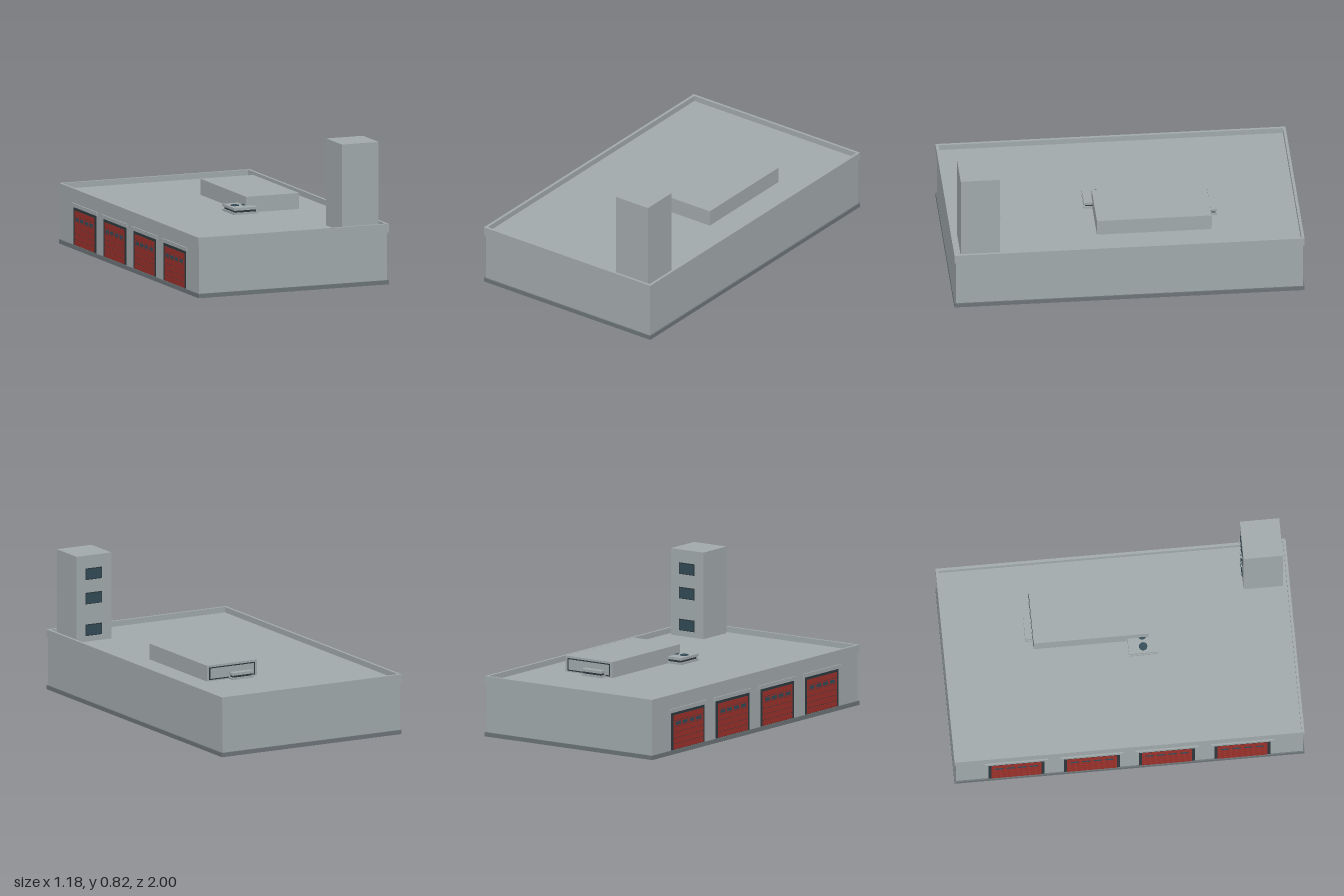
import * as THREE from 'three';

const mat = (name, color) => {
  const m = new THREE.MeshStandardMaterial({ color });
  m.name = name;
  return m;
};

export function createModel() {
  const concrete = mat('concrete grey', 0xa0a8aa);
  const plinthGrey = mat('plinth grey', 0x6b7376);
  const red = mat('door red', 0x98302a);
  const glass = mat('dark glass', 0x314a56);
  const dark = mat('dark trim', 0x2c383d);

  const building = new THREE.Group();
  building.name = 'building';

  // Box given by its min and max corners
  function box(name, material, x0, x1, y0, y1, z0, z1, parent = building) {
    const mesh = new THREE.Mesh(new THREE.BoxGeometry(x1 - x0, y1 - y0, z1 - z0), material);
    mesh.position.set((x0 + x1) / 2, (y0 + y1) / 2, (z0 + z1) / 2);
    mesh.name = name;
    parent.add(mesh);
    return mesh;
  }

  // Main hall: plinth, walls with flat roof, raised parapet ring
  box('plinth', plinthGrey, -0.59, 0.59, 0.001, 0.025, -1, 1);
  box('walls', concrete, -0.582, 0.582, 0.02, 0.318, -0.992, 0.992);

  const rect = (P, w, d) => {
    const p = new P();
    p.moveTo(-w, -d).lineTo(w, -d).lineTo(w, d).lineTo(-w, d).closePath();
    return p;
  };
  const ring = rect(THREE.Shape, 0.59, 1);
  ring.holes.push(rect(THREE.Path, 0.574, 0.984));
  const parapet = new THREE.Mesh(
    new THREE.ExtrudeGeometry(ring, { depth: 0.05, bevelEnabled: false }), concrete);
  parapet.rotation.x = -Math.PI / 2;
  parapet.position.y = 0.3;
  parapet.name = 'parapet';
  building.add(parapet);

  // Tower, with three windows facing the roof
  box('tower', concrete, 0.316, 0.544, 0, 0.82, 0.735, 0.96);
  for (const y of [0.35, 0.535, 0.677]) {
    const w = new THREE.Group();
    w.name = 'towerWindow';
    building.add(w);
    box('windowFrame', dark, 0.378, 0.487, y, y + 0.068, 0.732, 0.736, w);
    box('windowPane', glass, 0.384, 0.481, y + 0.006, y + 0.062, 0.7305, 0.734, w);
    box('windowSill', concrete, 0.374, 0.491, y - 0.006, y + 0.001, 0.727, 0.736, w);
  }

  // Sectional doors along one long side
  for (const z of [-0.645, -0.215, 0.215, 0.645]) {
    const door = new THREE.Group();
    door.name = 'sectionalDoor';
    door.position.z = z;
    building.add(door);
    box('doorFrame', dark, -0.5845, -0.58, 0.025, 0.24, -0.16, 0.16, door);
    const rows = 6, y0 = 0.027, h = 0.0335;
    for (let i = 0; i < rows; i++) {
      box('doorSection', red, -0.587, -0.583, y0 + i * h, y0 + (i + 1) * h - 0.003, -0.143, 0.143, door);
    }
    // Row of small panes
    for (let i = 0; i < 4; i++) {
      const c = -0.099 + i * 0.066;
      box('doorPane', glass, -0.588, -0.586, 0.167, 0.186, c - 0.024, c + 0.024, door);
    }
    box('lintel', concrete, -0.59, -0.58, 0.245, 0.265, -0.18, 0.18, door);
    box('threshold', concrete, -0.588, -0.57, 0, 0.024, -0.1, 0.1, door);
  }

  // Large rooftop plant room with an outlined end panel
  box('plantRoom', concrete, 0.065, 0.393, 0.31, 0.41, -0.487, 0.168);
  box('plantPanelTrim', dark, 0.08, 0.378, 0.325, 0.398, -0.489, -0.486);
  box('plantPanel', concrete, 0.087, 0.371, 0.332, 0.392, -0.491, -0.488);

  // Twin-fan rooftop units
  function fanUnit(cx, cz, w, d) {
    const unit = new THREE.Group();
    unit.name = 'fanUnit';
    unit.position.set(cx, 0.318, cz);
    building.add(unit);
    box('unitBase', concrete, -w / 2, w / 2, 0, 0.012, -d / 2, d / 2, unit);
    box('unitBody', dark, -w / 2 + 0.008, w / 2 - 0.008, 0.01, 0.026, -d / 2 + 0.008, d / 2 - 0.008, unit);
    box('unitTop', concrete, -w / 2, w / 2, 0.025, 0.04, -d / 2, d / 2, unit);
    for (const s of [-1, 1]) {
      const fan = new THREE.Mesh(new THREE.CylinderGeometry(0.024, 0.024, 0.004, 20), glass);
      fan.position.set(s * 0.033, 0.042, 0);
      fan.name = 'fan';
      unit.add(fan);
    }
  }
  fanUnit(0.043, 0.133, 0.145, 0.168);
  fanUnit(0.181, -0.446, 0.136, 0.168);

  const model = new THREE.Group();
  model.name = 'depot';
  model.add(building);
  return model;
}
